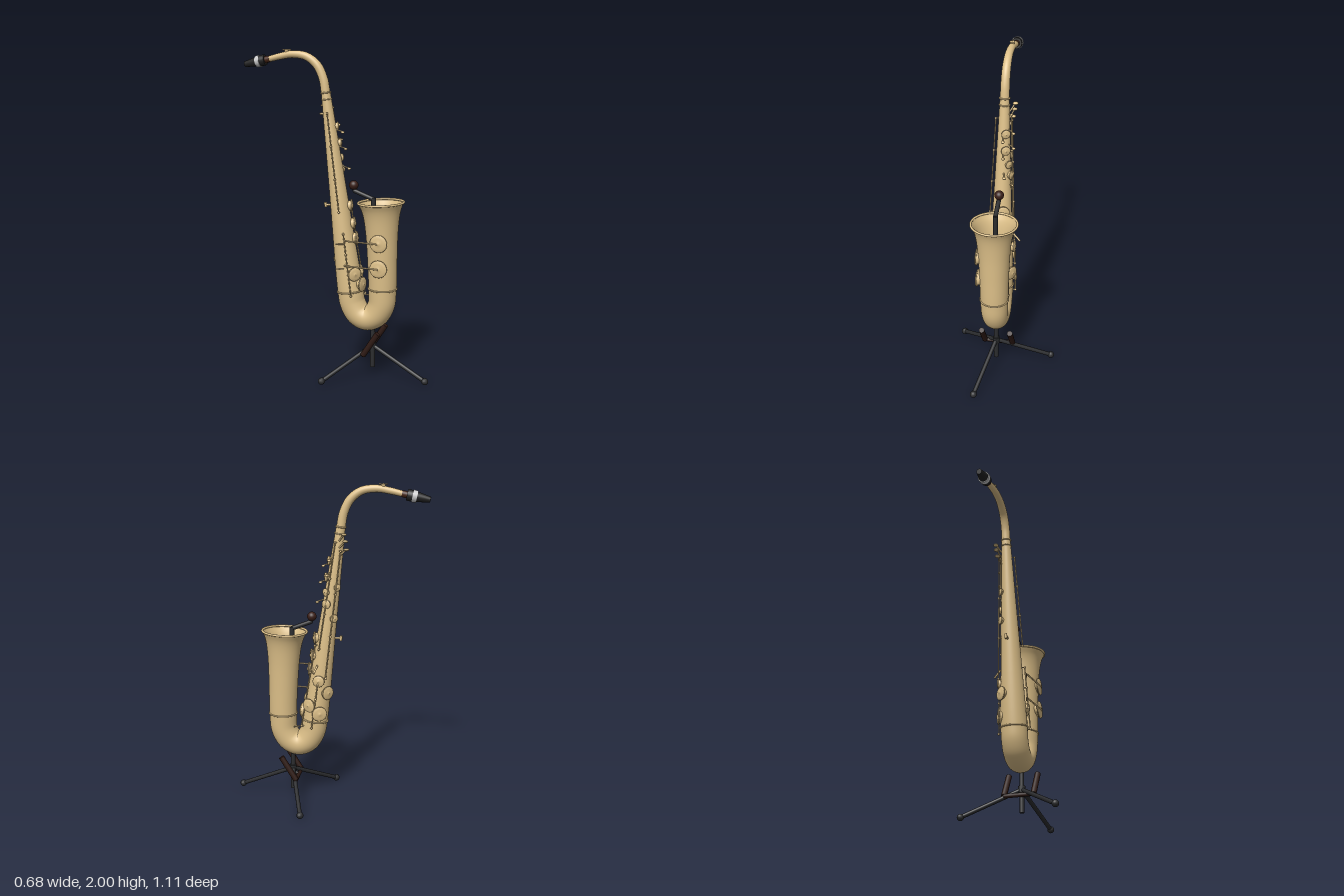
import * as THREE from 'three';

const V = (x, y, z) => new THREE.Vector3(x, y, z);
const UP = V(0, 1, 0);
const mat = (color) => new THREE.MeshStandardMaterial({ color, side: THREE.DoubleSide });
const brass = mat(0xdcbf88), black = mat(0x2b2c2e), ebony = mat(0x222222);
const silver = mat(0xd8d8d8), cork = mat(0x4a2818), rubber = mat(0x2e1a14), knob = mat(0x3a1f18);

function add(parent, name, geometry, material) {
  const mesh = new THREE.Mesh(geometry, material);
  mesh.name = name;
  parent.add(mesh);
  return mesh;
}

// Straight bar between two points, optionally tapered
function bar(parent, name, a, b, r, material = brass, r2 = r, sides = 12) {
  const mesh = add(parent, name, new THREE.CylinderGeometry(r2, r, a.distanceTo(b), sides), material);
  mesh.position.copy(a).lerp(b, 0.5);
  mesh.quaternion.setFromUnitVectors(UP, b.clone().sub(a).normalize());
  return mesh;
}

function ball(parent, name, p, r, material, squash = 1) {
  const mesh = add(parent, name, new THREE.SphereGeometry(r, 20, 14), material);
  mesh.position.copy(p);
  mesh.scale.y = squash;
  return mesh;
}

// Tube of changing radius in the x = 0 plane; stations are [z, y, radius]
function sweep(stations, steps, sides = 40) {
  const curve = new THREE.CatmullRomCurve3(stations.map(([z, y, r]) => V(r, y, z)), false, 'centripetal');
  const pos = [], index = [];
  for (let i = 0; i <= steps; i++) {
    const p = curve.getPoint(i / steps);
    const t = curve.getTangent(i / steps).setX(0).normalize();
    for (let j = 0; j < sides; j++) {
      const a = (j / sides) * Math.PI * 2, c = Math.cos(a) * p.x, s = Math.sin(a) * p.x;
      pos.push(c, p.y + s * t.z, p.z - s * t.y);
      if (i === steps) continue;
      const k = i * sides + j, n = i * sides + ((j + 1) % sides);
      index.push(k, n, k + sides, n, n + sides, k + sides);
    }
  }
  const g = new THREE.BufferGeometry();
  g.setAttribute('position', new THREE.Float32BufferAttribute(pos, 3));
  g.setIndex(index);
  g.computeVertexNormals();
  return g;
}

function ring(parent, name, y, z, r, tube, tilt) {
  const mesh = add(parent, name, new THREE.TorusGeometry(r, tube, 10, 48), brass);
  mesh.position.set(0, y, z);
  mesh.rotation.x = Math.PI / 2 + tilt;
}

// Leaning conical body: centre and radius by height
const bodyZ = (y) => 0.045 - 0.13 * (y - 0.53);
const bodyR = (y) => 0.08 - 0.043 * (y - 0.53);
const outward = (deg) => V(Math.sin(deg * Math.PI / 180), 0, Math.cos(deg * Math.PI / 180));
const onBody = (y, deg, off) => outward(deg).multiplyScalar(bodyR(y) + off).add(V(0, y, bodyZ(y)));

// Tone hole chimney with a domed pad cup above it
function padCup(parent, p, dir, r) {
  const profile = [[0.82, -0.5], [0.82, 0.25], [1, 0.25], [1.02, 0.4], [0.97, 0.52], [0.6, 0.62], [0.25, 0.64], [0.2, 0.74], [0, 0.76]];
  const g = new THREE.LatheGeometry(profile.map(([x, y]) => new THREE.Vector2(x * r, y * Math.min(r, 0.034))), 28);
  const mesh = add(parent, 'padCup', g, brass);
  mesh.position.copy(p);
  mesh.quaternion.setFromUnitVectors(UP, dir);
}

function buildKeys(sax) {
  const keys = new THREE.Group();
  keys.name = 'keywork';
  sax.add(keys);

  // Pad cups on the body: height, angle from the bell side, radius
  [[1.54, 25, 0.027], [1.44, 25, 0.028], [1.35, 50, 0.024], [1.28, 70, 0.028], [1.38, 130, 0.022],
    [1.19, 130, 0.026], [1.06, 15, 0.038], [0.95, 15, 0.04], [0.86, 10, 0.042], [0.8, 90, 0.036],
    [0.72, 140, 0.042], [0.64, 62, 0.043], [0.59, 112, 0.046], [0.65, -45, 0.042], [0.58, -12, 0.045],
  ].forEach(([y, deg, r]) => padCup(keys, onBody(y, deg, 0), outward(deg), r));

  // Two large cups on the side of the bell, with wire guards
  for (const y of [0.86, 0.705]) {
    padCup(keys, V(-0.09, y, 0.25), V(-1, 0, 0), 0.053);
    bar(keys, 'cupArm', V(-0.115, y, 0.25), V(-0.085, y, 0.03), 0.005);
    bar(keys, 'cupLever', V(-0.085, y - 0.02, 0.03), V(-0.1, y - 0.02, -0.02), 0.004);
  }

  // Long hinge rods carried on small posts
  [[1.62, 1.03, -80], [1.65, 1.0, 70], [1.6, 0.82, 118], [1.02, 0.5, 42], [0.9, 0.52, -72], [0.78, 0.5, 88]]
    .forEach(([top, low, deg]) => {
      bar(keys, 'hingeRod', onBody(low, deg, 0.016), onBody(top, deg, 0.016), 0.004, brass, 0.004, 8);
      for (let i = 0; i <= 3; i++) {
        const y = low + (top - low) * i / 3;
        bar(keys, 'rodPost', onBody(y, deg, -0.005), onBody(y, deg, 0.018), 0.004, brass, 0.004, 8);
        ball(keys, 'postHead', onBody(y, deg, 0.017), 0.007, brass);
      }
    });

  // Palm keys near the top
  [1.7, 1.66, 1.61].forEach((y, i) => {
    const deg = 118 + i * 12;
    bar(keys, 'palmArm', onBody(y - 0.04, deg - 20, 0), onBody(y, deg, 0.035), 0.005);
    ball(keys, 'palmKey', onBody(y, deg, 0.037), 0.017, brass, 0.5);
  });

  // Finger touches and side levers
  [[1.52, 5], [1.42, 8], [1.3, 15], [1.56, 60], [1.47, 60]].forEach(([y, deg]) => {
    bar(keys, 'touchArm', onBody(y, deg, 0), onBody(y - 0.01, deg, 0.035), 0.004);
    ball(keys, 'fingerTouch', onBody(y - 0.015, deg, 0.036), 0.011, brass, 0.7);
  });
  bar(keys, 'sideLever', onBody(0.9, 75, 0.015), onBody(0.86, 75, 0.06), 0.006);
  bar(keys, 'lowWire', V(0.05, 0.5, 0.09), V(0.06, 0.49, 0.17), 0.004);

  // Thumb hook on the back
  bar(keys, 'thumbHookArm', onBody(1.06, 180, -0.01), onBody(1.06, 180, 0.035), 0.007);
  bar(keys, 'thumbHook', onBody(1.045, 180, 0.035), onBody(1.075, 180, 0.035), 0.009);
}

function buildSax() {
  const sax = new THREE.Group();
  sax.name = 'saxophone';
  sax.position.set(-0.023, 0, 0.012);
  sax.rotation.y = 0.49;

  // Body, bow and flared bell in one tube
  add(sax, 'bodyAndBell', sweep([
    [-0.112, 1.74, 0.028], [bodyZ(1.14), 1.14, bodyR(1.14)], [0.045, 0.53, 0.08], [0.06, 0.45, 0.08],
    [0.097, 0.389, 0.08], [0.15, 0.366, 0.08], [0.206, 0.39, 0.081], [0.243, 0.455, 0.083], [0.25, 0.55, 0.086],
    [0.247, 0.75, 0.091], [0.243, 0.9, 0.098], [0.24, 1.0, 0.109], [0.238, 1.05, 0.121], [0.236, 1.09, 0.138],
  ], 110), brass);
  ring(sax, 'bellRim', 1.092, 0.236, 0.138, 0.007, -0.04);
  ring(sax, 'bellBand', 0.56, 0.25, 0.087, 0.005, 0);
  ring(sax, 'bodyBand', 0.53, 0.045, 0.081, 0.005, -0.12);
  ring(sax, 'neckSocket', 1.74, -0.112, 0.029, 0.005, -0.13);
  ring(sax, 'neckSocketLower', 1.7, -0.107, 0.031, 0.004, -0.13);

  // Curved neck
  add(sax, 'neck', sweep([
    [-0.112, 1.735, 0.028], [-0.127, 1.82, 0.027], [-0.165, 1.9, 0.026], [-0.232, 1.952, 0.024],
    [-0.32, 1.966, 0.022], [-0.4, 1.954, 0.02], [-0.475, 1.937, 0.018],
  ], 48, 24), brass);
  padCup(sax, V(0, 1.985, -0.36), UP, 0.016);
  bar(sax, 'octaveArm', V(0, 1.992, -0.385), V(0, 1.992, -0.335), 0.004);

  // Cork and mouthpiece, running along one line from the neck end
  const along = (t) => V(0, 1.938 - 0.2 * t, -0.47 - t);
  bar(sax, 'cork', along(0), along(0.045), 0.02, cork, 0.02, 24);
  bar(sax, 'mouthpieceShank', along(0.03), along(0.08), 0.033, ebony, 0.034, 24);
  bar(sax, 'ligature', along(0.062), along(0.088), 0.037, silver, 0.035, 24);
  bar(sax, 'mouthpieceBeak', along(0.08), along(0.165), 0.031, ebony, 0.017, 24);

  buildKeys(sax);
  return sax;
}

function buildStand() {
  const stand = new THREE.Group();
  stand.name = 'stand';
  const at = (y) => V(0.065, y, 0.18);
  bar(stand, 'post', at(0.05), at(1.12), 0.015, black);
  bar(stand, 'hub', at(0.165), at(0.21), 0.022, black);

  // Three splayed legs with faceted feet
  for (let i = 0; i < 3; i++) {
    const a = 1.3 + i * Math.PI * 2 / 3;
    const end = V(0.065 + Math.cos(a) * 0.36, 0.024, 0.18 + Math.sin(a) * 0.36);
    bar(stand, 'leg', at(0.19), end, 0.013, black);
    const foot = add(stand, 'foot', new THREE.IcosahedronGeometry(0.022, 1), black);
    foot.position.copy(end);
  }

  // Padded cradle under the bow
  const lows = [V(-0.025, 0.148, 0.185), V(0.135, 0.148, 0.1)];
  for (const p of lows) bar(stand, 'cradleArm', p, p.clone().add(V(0.042, 0.147, 0.083)), 0.018, rubber);
  bar(stand, 'cradleBar', lows[0], lows[1], 0.013, rubber);
  bar(stand, 'cradleLink', at(0.17), V(0.055, 0.148, 0.143), 0.012, black);

  // Upper rest reaching to the body
  const elbow = V(0.008, 1.155, 0.078);
  bar(stand, 'restArm', at(1.11), elbow, 0.014, black);
  ball(stand, 'restElbow', elbow, 0.014, black);
  bar(stand, 'restNeck', elbow, V(0.006, 1.185, 0.07), 0.012, black);
  ball(stand, 'restBall', V(0.006, 1.19, 0.07), 0.029, knob);
  return stand;
}

export function createModel() {
  const model = new THREE.Group();
  model.name = 'saxophoneOnStand';
  model.add(buildSax(), buildStand());
  return model;
}
